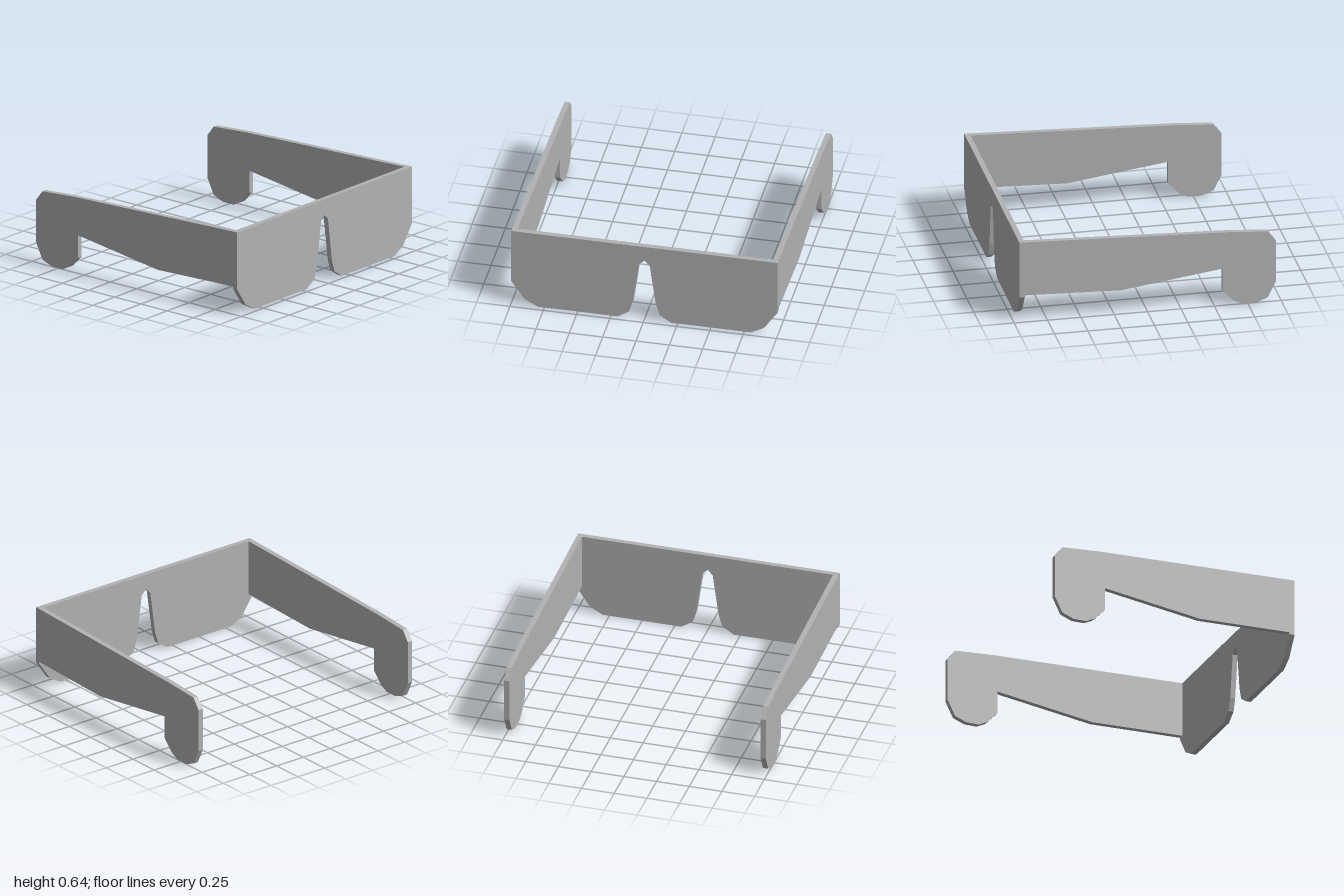
import * as THREE from 'three';

const THICK = 0.04;

// Flat plate cut from an outline, extruded along +z
function plate(points) {
  const shape = new THREE.Shape(points.map(([x, y]) => new THREE.Vector2(x, y)));
  return new THREE.ExtrudeGeometry(shape, { depth: THICK, bevelEnabled: false });
}

export function createModel() {
  const model = new THREE.Group();
  model.name = 'glasses';
  const grey = new THREE.MeshStandardMaterial({ color: 0xb2b2b2 });
  grey.name = 'grey';

  // Lens panel: half outline from the top corner to the nose notch, then mirrored
  const half = [
    [1, 0.64], [1, 0.2], [0.9, 0.055], [0.8, 0], [0.2, 0],
    [0.115, 0.055], [0.085, 0.15], [0.04, 0.48],
  ];
  const mirrored = half.map(([x, y]) => [-x, y]).reverse();
  const lensPanel = new THREE.Mesh(plate([...half, [0, 0.52], ...mirrored]), grey);
  lensPanel.name = 'lensPanel';
  lensPanel.rotation.y = Math.PI / 2;
  lensPanel.position.x = 0.96 - THICK;
  model.add(lensPanel);

  // Temple arms with a rounded ear hook, one on each side
  const armGeometry = plate([
    [0.92, 0.64], [-0.6, 0.584], [-0.9, 0.563], [-0.96, 0.485], [-0.96, 0.155],
    [-0.9, 0.035], [-0.81, 0], [-0.71, 0], [-0.64, 0.035], [-0.56, 0.12],
    [-0.56, 0.295], [0.2, 0.19], [0.92, 0.215],
  ]);
  for (const [name, z] of [['frontArm', 1 - THICK], ['backArm', -1]]) {
    const arm = new THREE.Mesh(armGeometry, grey);
    arm.name = name;
    arm.position.z = z;
    model.add(arm);
  }
  return model;
}
